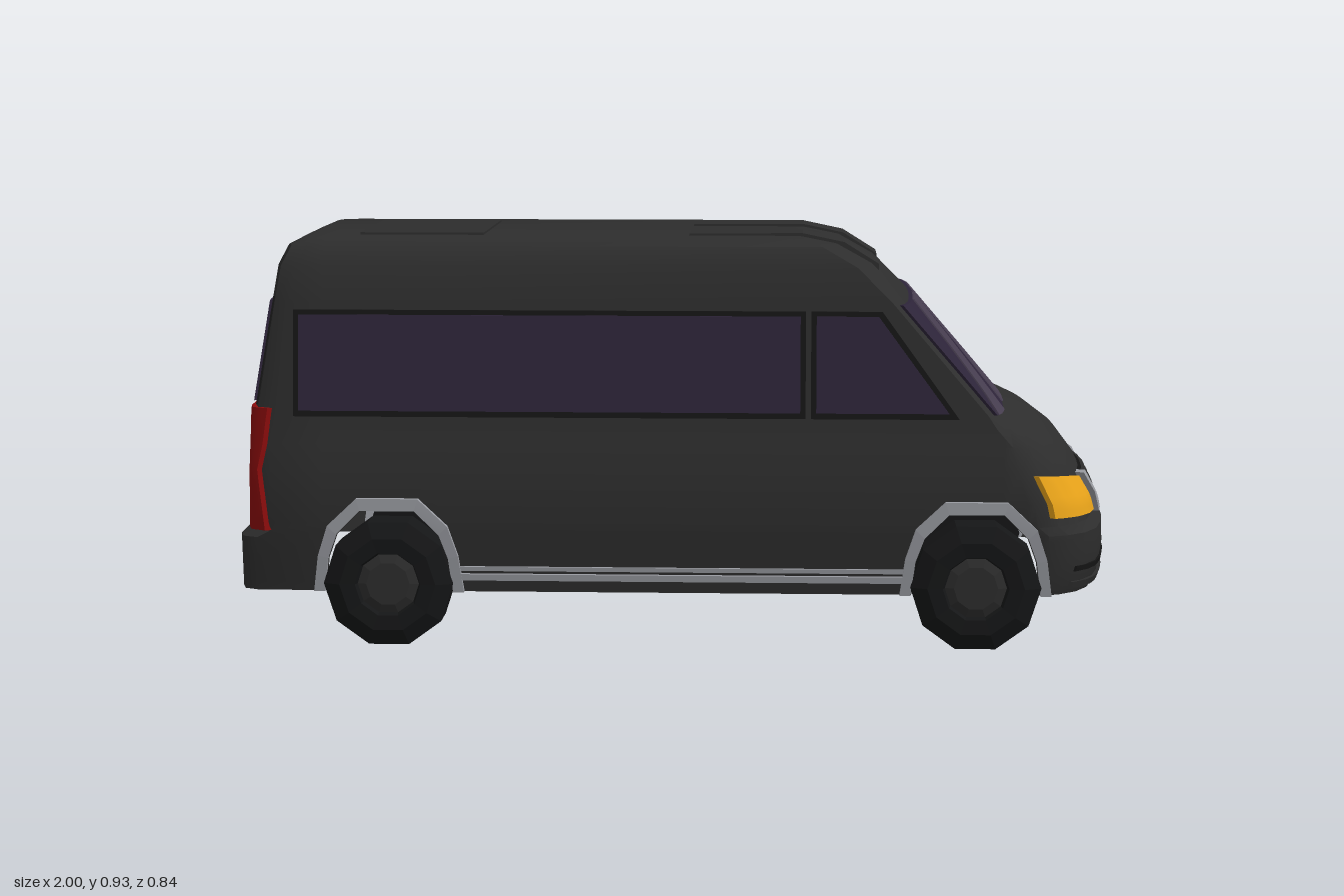
import * as THREE from 'three';
import { toCreasedNormals } from 'three/addons/utils/BufferGeometryUtils.js';

const mat = (color, flatShading = false) =>
  new THREE.MeshStandardMaterial({ color, flatShading, side: THREE.DoubleSide });
const paint = mat(0x2d2d2d), dark = mat(0x151515), glass = mat(0x2d2439), glare = mat(0x463d4f);
const chrome = mat(0x999ba1), amber = mat(0xeba51a), red = mat(0x8a0c0c);
const rubber = mat(0x151617, true), hubMat = mat(0x2c2c2c, true);

// Piecewise linear lookup in [key, value] pairs
function lookup(table, k) {
  if (k <= table[0][0]) return table[0][1];
  for (let i = 1; i < table.length; i++) {
    const [k0, v0] = table[i - 1], [k1, v1] = table[i];
    if (k <= k1) return v0 + (v1 - v0) * (k - k0) / (k1 - k0);
  }
  return table[table.length - 1][1];
}

// Body outline by height: half width, nose, tail and depth of the front corners
const WIDTH = [[0.12, 0.378], [0.2, 0.39], [0.28, 0.4], [0.4, 0.4], [0.46, 0.388], [0.53, 0.378],
  [0.78, 0.352], [0.86, 0.338], [0.905, 0.315], [0.922, 0.29]];
const NOSE = [[0.12, 0.98], [0.14, 0.99], [0.2, 1], [0.26, 0.998], [0.28, 0.975], [0.33, 0.965], [0.4, 0.93],
  [0.46, 0.885], [0.5, 0.83], [0.53, 0.75], [0.78, 0.535], [0.86, 0.455], [0.905, 0.375], [0.922, 0.29]];
const TAIL = [[0.12, -1], [0.245, -1], [0.26, -0.97], [0.53, -0.965], [0.86, -0.912], [0.905, -0.89], [0.922, -0.855]];
const CORNER = [[0.12, 0.15], [0.4, 0.15], [0.5, 0.1], [0.53, 0.04], [0.922, 0.04]];
const FRONT_CURVE = [[0, 0], [0.25, 0.03], [0.5, 0.11], [0.7, 0.22], [0.85, 0.42], [0.95, 0.7], [1, 1]];
const BACK_CURVE = [[0, 0], [0.85, 0.004], [0.95, 0.015], [1, 0.05]];
const LEVELS = [0.12, 0.14, 0.2, 0.245, 0.26, 0.28, 0.33, 0.4, 0.46, 0.5, 0.53, 0.65, 0.78, 0.86, 0.905, 0.922];

const halfWidth = y => lookup(WIDTH, y);
const frontX = (y, z) => lookup(NOSE, y) - lookup(CORNER, y) * lookup(FRONT_CURVE, Math.abs(z) / halfWidth(y));
const backX = (y, z) => lookup(TAIL, y) + lookup(BACK_CURVE, Math.abs(z) / halfWidth(y));

// Wheel opening: distance from the axle and height of the edge
const AXLES = [-0.65, 0.685];
const ARCH = [[0, 0.315], [0.06, 0.31], [0.115, 0.255], [0.135, 0.2], [0.145, 0.12]];
const archY = x => Math.max(...AXLES.map(a => Math.abs(x - a) > 0.146 ? 0 : lookup(ARCH, Math.abs(x - a))));

// Open-bottomed shell lofted from plan outlines, lifted over the wheels
function bodyGeometry() {
  const columns = AXLES.flatMap(a => [-0.15, ...ARCH.slice(1).reverse().map(p => -p[0]), 0,
    ...ARCH.slice(1).map(p => p[0]), 0.15].map(d => a + d));
  const ring = (y, flat) => {
    const w = halfWidth(y), end = frontX(y, w), half = [];
    BACK_CURVE.forEach(([f]) => half.push([backX(y, f * w), y, f * w]));
    columns.forEach(x => half.push([Math.min(x, end), y, w]));
    [...FRONT_CURVE].reverse().forEach(([f]) => half.push([frontX(y, f * w), y, f * w]));
    half.forEach(p => {
      const lift = archY(p[0]);
      if (p[2] > 0.9 * w && p[1] < lift) { p[1] = lift; p[2] = halfWidth(lift); }
      if (flat) p[2] = 0;
    });
    return [...half, ...half.slice(1, -1).reverse().map(([x, h, z]) => [x, h, -z])];
  };
  const rings = [...LEVELS.map(y => ring(y, false)), ring(0.922, true)];
  const n = rings[0].length, index = [];
  for (let j = 0; j < rings.length - 1; j++) for (let i = 0; i < n; i++) {
    const a = j * n + i, b = j * n + (i + 1) % n;
    index.push(a, b, b + n, a, b + n, a + n);
  }
  const g = new THREE.BufferGeometry();
  g.setAttribute('position', new THREE.Float32BufferAttribute(rings.flat(2), 3));
  g.setIndex(index);
  return toCreasedNormals(g, 0.6);
}

// Maps from panel coordinates and offset onto the faces of the body
const onSide = s => (x, y, off) => [x, y, s * (halfWidth(y) + off)];
const onFront = (z, y, off) => [frontX(y, z) + off, y, z * (1 + off * 1.5)];
const onBack = (z, y, off) => [backX(y, z) - off, y, z * (1 + off * 1.5)];

export function createModel() {
  const model = new THREE.Group();
  const add = (name, geometry, material) => {
    const m = new THREE.Mesh(geometry, material);
    m.name = name;
    model.add(m);
    return m;
  };
  // Thin solid panel: corners run bottom start, bottom end, top end, top start
  const panel = (name, material, map, [a, b, c, d], lo, hi, nu = 1, nv = 1) => {
    const g = new THREE.BoxGeometry(1, 1, 1, nu, nv, 1), p = g.attributes.position;
    const mix = THREE.MathUtils.lerp;
    for (let i = 0; i < p.count; i++) {
      const u = p.getX(i) + 0.5, v = p.getY(i) + 0.5;
      const q = [0, 1].map(k => mix(mix(a[k], b[k], u), mix(d[k], c[k], u), v));
      p.setXYZ(i, ...map(q[0], q[1], p.getZ(i) > 0 ? hi : lo));
    }
    g.computeVertexNormals();
    return add(name, g, material);
  };
  const rect = (u0, u1, v0, v1) => [[u0, v0], [u1, v0], [u1, v1], [u0, v1]];

  add('bodyShell', bodyGeometry(), paint);

  // Sides: windows with dark frames, sill strips and wheel arch trims
  for (const s of [1, -1]) {
    const side = onSide(s);
    panel('rearWindowFrame', dark, side, rect(-0.865, 0.298, 0.522, 0.763), -0.002, 0.003, 4, 4);
    panel('rearSideWindow', glass, side, rect(-0.853, 0.286, 0.535, 0.752), -0.005, 0.006, 4, 4);
    panel('cabWindowFrame', dark, side, [[0.31, 0.522], [0.645, 0.522], [0.47, 0.763], [0.31, 0.763]], -0.002, 0.003, 4, 4);
    panel('cabSideWindow', glass, side, [[0.322, 0.535], [0.622, 0.535], [0.462, 0.752], [0.322, 0.752]], -0.005, 0.006, 4, 4);
    panel('sillStrip', chrome, side, rect(-0.49, 0.525, 0.148, 0.163), -0.006, 0.012);
    panel('sillStrip', chrome, side, rect(-0.49, 0.525, 0.17, 0.18), -0.006, 0.008);
    const inner = [[-0.147, 0.12], [-0.137, 0.2], [-0.117, 0.255], [-0.062, 0.31]];
    const outer = [[-0.172, 0.12], [-0.16, 0.205], [-0.137, 0.275], [-0.07, 0.338]];
    const mirror = list => [...list, ...[...list].reverse().map(([x, y]) => [-x, y])];
    const ins = mirror(inner), outs = mirror(outer);
    for (const axle of AXLES) for (let i = 0; i < ins.length - 1; i++) {
      const at = p => [p[0] + axle, p[1]];
      panel('wheelArchTrim', chrome, side, [ins[i], ins[i + 1], outs[i + 1], outs[i]].map(at), -0.005, 0.014);
    }
  }

  // Windscreen with two pale reflections
  panel('windscreen', glass, onFront, [[-0.357, 0.53], [0.357, 0.53], [0.337, 0.776], [-0.337, 0.776]], -0.004, 0.008, 20, 4);
  panel('windscreenReflection', glare, onFront, [[0.25, 0.531], [0.35, 0.531], [0.175, 0.775], [0, 0.775]], 0.007, 0.012, 8, 12);
  panel('windscreenReflection', glare, onFront, [[-0.085, 0.531], [0.12, 0.531], [-0.115, 0.775], [-0.335, 0.775]], 0.007, 0.012, 8, 12);

  // Nose: grille, headlamps and bumper slots
  panel('grille', dark, onFront, [[-0.15, 0.29], [0.15, 0.29], [0.18, 0.378], [-0.18, 0.378]], -0.004, 0.006, 12, 4);
  for (let i = 0; i < 5; i++) {
    const y = 0.306 + i * 0.015, w = 0.148 + i * 0.006;
    panel('grilleSlat', paint, onFront, rect(-w, w, y, y + 0.008), 0, 0.013, 12, 1);
  }
  panel('grilleLowerBar', chrome, onFront, rect(-0.165, 0.165, 0.282, 0.3), 0, 0.02, 12, 1);
  for (const s of [1, -1]) {
    panel('grilleSideBar', chrome, onFront,
      [[0.14, 0.284], [0.18, 0.284], [0.22, 0.38], [0.178, 0.38]].map(([z, y]) => [z * s, y]), 0, 0.02, 2, 4);
    panel('headlamp', amber, onFront,
      [[0.215, 0.294], [0.387, 0.3], [0.387, 0.395], [0.25, 0.377]].map(([z, y]) => [z * s, y]), -0.004, 0.012, 12, 6);
  }
  panel('bumperSlot', dark, onFront, rect(-0.35, 0.35, 0.172, 0.184), -0.004, 0.005, 20, 1);
  panel('bumperLip', paint, onFront, rect(-0.35, 0.35, 0.132, 0.148), -0.004, 0.008, 20, 1);

  // Tail: window, lamps, red band and plate panel
  panel('backWindowFrame', dark, onBack, [[-0.345, 0.545], [0.345, 0.545], [0.325, 0.79], [-0.325, 0.79]], -0.002, 0.004, 12, 4);
  panel('backWindow', glass, onBack, [[-0.333, 0.552], [0.333, 0.552], [0.315, 0.78], [-0.315, 0.78]], -0.004, 0.008, 12, 4);
  panel('tailBand', red, onBack, rect(-0.3, 0.3, 0.44, 0.54), -0.004, 0.01, 8, 3);
  panel('platePanel', chrome, onBack, [[-0.2, 0.295], [0.2, 0.295], [0.215, 0.44], [-0.215, 0.44]], -0.004, 0.01, 4, 3);
  for (const s of [1, -1])
    panel('tailLamp', red, onBack,
      [[0.28, 0.262], [0.4, 0.262], [0.377, 0.54], [0.26, 0.54]].map(([z, y]) => [z * s, y]), -0.004, 0.01, 12, 10);

  // Roof hatch and two raised ribs that follow the roof's front slope
  add('roofHatch', new THREE.BoxGeometry(0.285, 0.012, 0.41), paint).position.set(-0.588, 0.921, 0);
  const rib = new THREE.Shape([[0.02, 0.9], [0.03, 0.927], [0.29, 0.928], [0.385, 0.908], [0.465, 0.858], [0.465, 0.83],
    [0.3, 0.89]].map(([x, y]) => new THREE.Vector2(x, y)));
  for (const z of [0.085, -0.205])
    add('roofRib', new THREE.ExtrudeGeometry(rib, { depth: 0.12, bevelEnabled: false }), paint).position.z = z;

  // Ten-sided wheels
  const lathe = points => new THREE.LatheGeometry(points.map(([r, h]) => new THREE.Vector2(r, h)), 10)
    .rotateY(Math.PI / 10).rotateX(Math.PI / 2);
  const tyre = lathe([[0, 0.31], [0.148, 0.31], [0.148, 0.4], [0.11, 0.418], [0.075, 0.415], [0.07, 0.4]]);
  const hub = lathe([[0.072, 0.4], [0.05, 0.408], [0, 0.408]]);
  for (const x of AXLES) for (const turn of [0, Math.PI])
    for (const m of [add('tyre', tyre, rubber), add('wheelHub', hub, hubMat)]) {
      m.position.set(x, 0.141, 0);
      m.rotation.y = turn;
    }
  return model;
}
